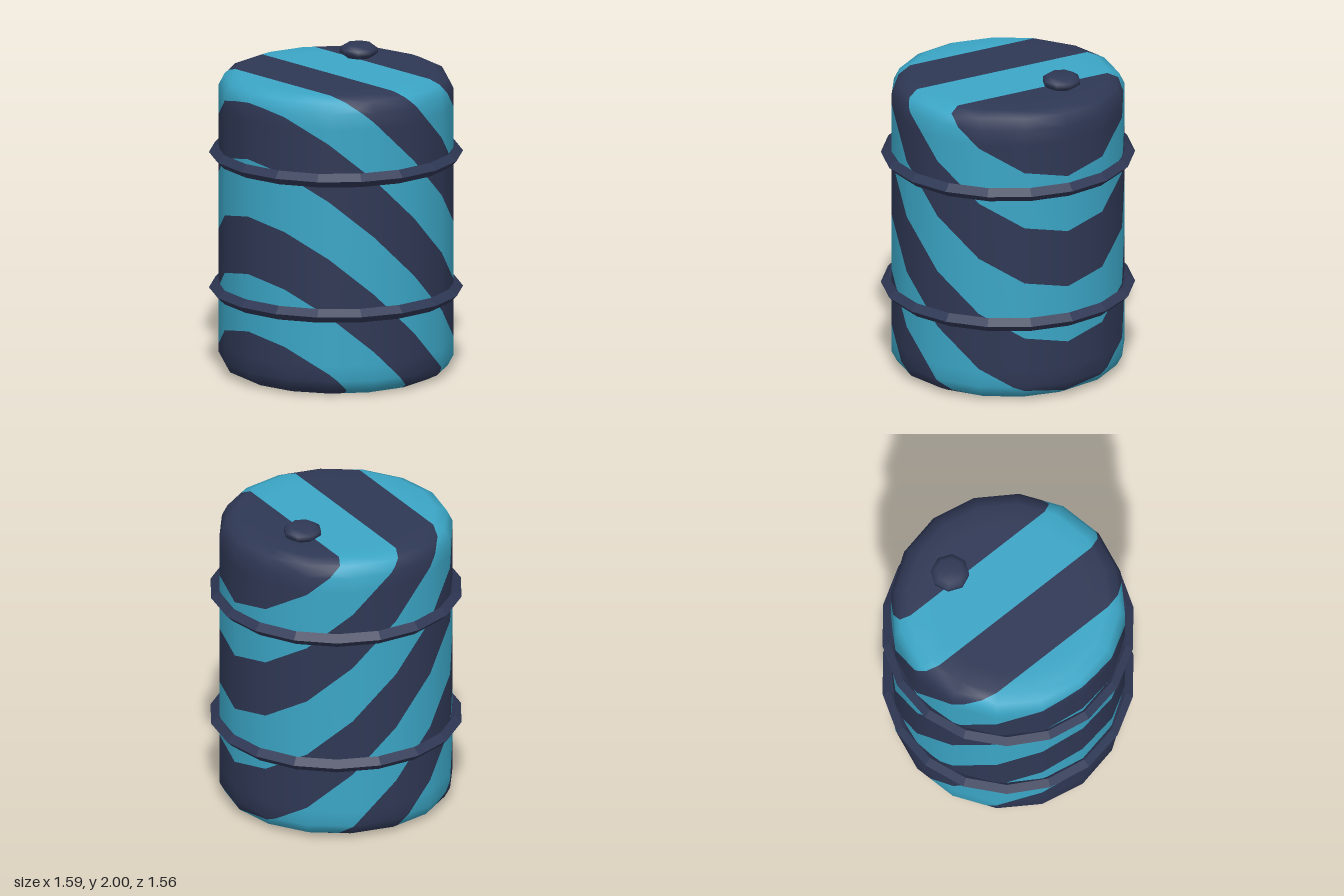
import * as THREE from 'three';

const teal = new THREE.MeshStandardMaterial({ name: 'teal paint', color: 0x3ba6c6 });
const navy = new THREE.MeshStandardMaterial({ name: 'navy paint', color: 0x2f3855 });

const STRIPE = 0.37; // stripe width measured along x + y
const lathe = (pts, sides) => new THREE.LatheGeometry(pts.map(([r, y]) => new THREE.Vector2(r, y)), sides);

// Cut a polygon of {p, n} corners by sign * (x + y - level) >= 0
function clip(poly, level, sign) {
  const out = [];
  const dist = (c) => sign * (c.p.x + c.p.y - level);
  poly.forEach((a, i) => {
    const b = poly[(i + 1) % poly.length];
    const da = dist(a), db = dist(b);
    if (da >= 0) out.push(a);
    if ((da > 0 && db < 0) || (da < 0 && db > 0)) {
      const t = da / (da - db);
      out.push({ p: a.p.clone().lerp(b.p, t), n: a.n.clone().lerp(b.n, t).normalize() });
    }
  });
  return out;
}

// Split a surface into diagonal bands; keep even (0) or odd (1) ones
function stripes(source, parity) {
  const geo = source.toNonIndexed();
  const pos = geo.attributes.position, nor = geo.attributes.normal;
  const P = [], N = [];
  for (let i = 0; i < pos.count; i += 3) {
    const tri = [0, 1, 2].map((j) => ({
      p: new THREE.Vector3().fromBufferAttribute(pos, i + j),
      n: new THREE.Vector3().fromBufferAttribute(nor, i + j),
    }));
    if (new THREE.Triangle(...tri.map((c) => c.p)).getArea() < 1e-7) continue;
    for (let k = -2 + parity; k <= 6; k += 2) {
      const poly = clip(clip(tri, k * STRIPE, 1), (k + 1) * STRIPE, -1);
      for (let j = 1; j + 1 < poly.length; j++) {
        for (const c of [poly[0], poly[j], poly[j + 1]]) {
          P.push(c.p.x, c.p.y, c.p.z);
          N.push(c.n.x, c.n.y, c.n.z);
        }
      }
    }
  }
  const out = new THREE.BufferGeometry();
  out.setAttribute('position', new THREE.Float32BufferAttribute(P, 3));
  out.setAttribute('normal', new THREE.Float32BufferAttribute(N, 3));
  return out;
}

export function createModel() {
  const model = new THREE.Group();
  model.name = 'barrel';
  const add = (name, geometry, material) => {
    const mesh = new THREE.Mesh(geometry, material);
    mesh.name = name;
    model.add(mesh);
    return mesh;
  };

  // Striped drum with chamfered rims and a shallow dish underneath
  const drum = lathe([
    [0, 0.05], [0.28, 0.05], [0.33, 0], [0.63, 0], [0.7, 0.035], [0.735, 0.1], [0.735, 0.2],
    [0.735, 1.72], [0.735, 1.82], [0.7, 1.89], [0.63, 1.92], [0.5, 1.92], [0, 1.92],
  ], 16);
  add('navyStripes', stripes(drum, 0), navy);
  add('tealStripes', stripes(drum, 1), teal);

  // Two hoops with a diamond section and sharp edges
  for (const [name, y] of [['lowerHoop', 0.53], ['upperHoop', 1.402]]) {
    const hoop = new THREE.TorusGeometry(0.75, 0.044, 4, 18).rotateX(Math.PI / 2).toNonIndexed();
    hoop.computeVertexNormals();
    add(name, hoop, navy).position.y = y;
  }

  // Filler cap on the lid
  const cap = lathe([[0.085, 0], [0.12, 0.025], [0.12, 0.055], [0.085, 0.08], [0, 0.08]], 8);
  add('fillerCap', cap, navy).position.set(0.35, 1.92, -0.18);

  return model;
}
